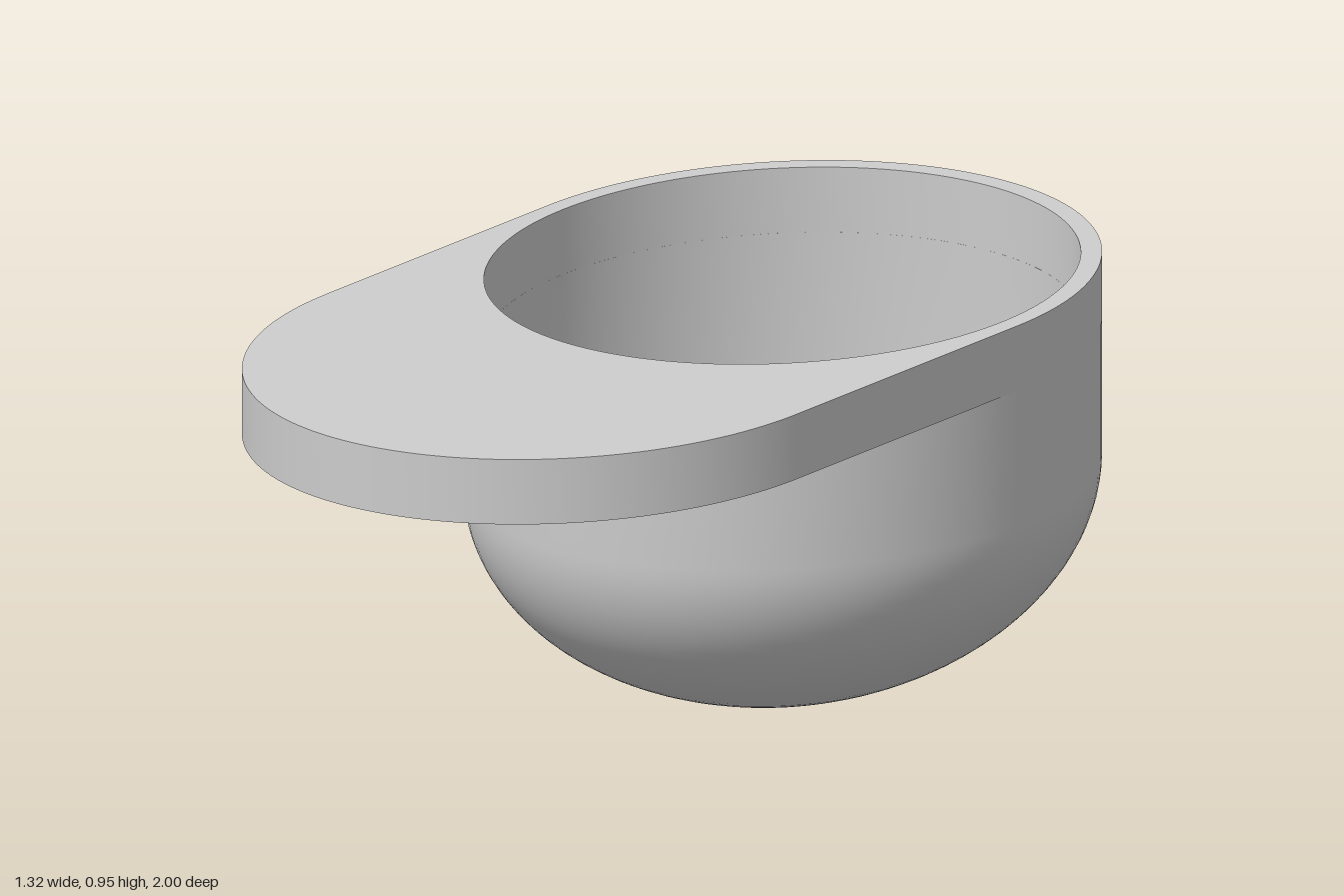
import * as THREE from 'three';
import { toCreasedNormals } from 'three/addons/utils/BufferGeometryUtils.js';

const R = 0.662;          // outer radius of the cup and the plate ends
const R_IN = 0.618;       // inner radius of the cup
const ZC = -0.337;        // cup axis
const TOP = 0.903;        // rim height on the cup axis
const PLATE = 0.14;       // plate thickness
const DOME_Y = 0.472;     // height where the dome begins
const SLOPE = 0.07;       // everything slopes down towards the front
const SEG = 96;

// Shear a geometry so that horizontal faces follow the slope, walls stay vertical.
function slope(geometry) {
  const p = geometry.attributes.position;
  for (let i = 0; i < p.count; i++) {
    p.setY(i, p.getY(i) - SLOPE * (p.getZ(i) - ZC));
  }
  return toCreasedNormals(geometry, 0.5);
}

// Quarter ellipse from the axis out to radius r, at depth b below the dome line.
function domeProfile(r, b) {
  const pts = [];
  for (let i = 0; i <= 28; i++) {
    const a = (i / 28) * Math.PI / 2;
    pts.push(new THREE.Vector2(r * Math.sin(a), DOME_Y - b * Math.cos(a)));
  }
  return pts;
}

function lathe(points) {
  return slope(new THREE.LatheGeometry(points, SEG).translate(0, 0, ZC));
}

export function createModel() {
  const group = new THREE.Group();
  const material = new THREE.MeshStandardMaterial({ color: 0xcccccc });
  const add = (name, geometry) => {
    const mesh = new THREE.Mesh(geometry, material);
    mesh.name = name;
    group.add(mesh);
  };

  // Stadium-shaped plate with the cup opening cut through it
  const outline = new THREE.Shape();
  outline.absarc(0, -ZC, R, 0, Math.PI, false);
  outline.absarc(0, ZC, R, Math.PI, Math.PI * 2, false);
  outline.closePath();
  const opening = new THREE.Path();
  opening.absarc(0, -ZC, R_IN, 0, Math.PI * 2, true);
  outline.holes.push(opening);
  const plate = new THREE.ExtrudeGeometry(outline, {
    depth: PLATE, bevelEnabled: false, curveSegments: SEG,
  });
  plate.rotateX(-Math.PI / 2).translate(0, TOP - PLATE, 0);
  add('plate', slope(plate));

  // Hollow cup with a rounded bottom, hanging below the plate
  const wallTop = TOP - PLATE;
  add('cup', lathe([
    ...domeProfile(R, 0.47),
    new THREE.Vector2(R, wallTop),
    new THREE.Vector2(R_IN, wallTop),
    ...domeProfile(R_IN, 0.425).reverse(),
  ]));

  // Upright ring standing on the cup floor
  add('innerRing', lathe([
    new THREE.Vector2(0.378, 0.12),
    new THREE.Vector2(0.378, 0.545),
    new THREE.Vector2(0.285, 0.545),
    new THREE.Vector2(0.285, 0.08),
  ]));

  return group;
}
